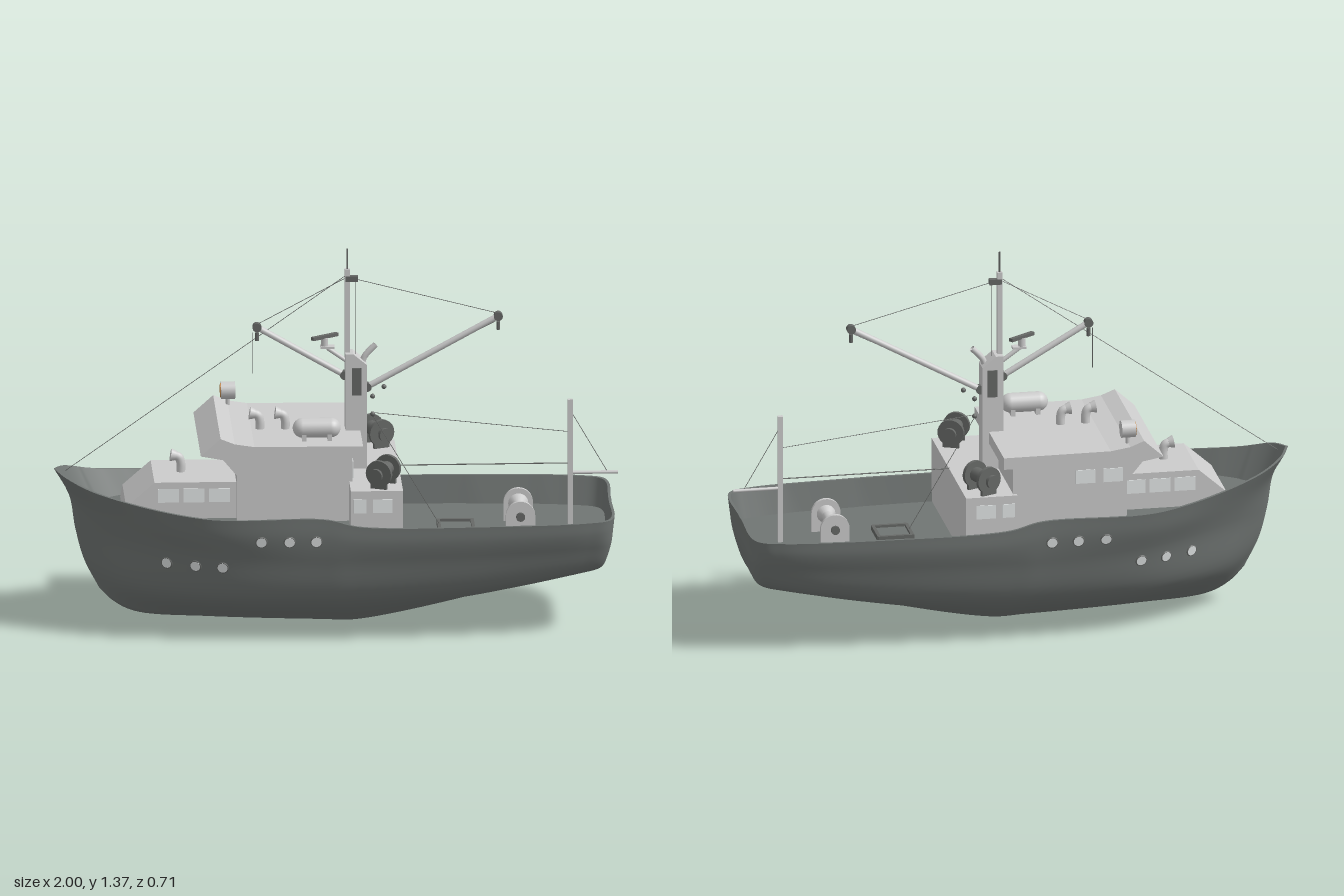
import * as THREE from 'three';

const V = (x, y, z = 0) => new THREE.Vector3(x, y, z);
const mat = (color = 0xcccccc) => new THREE.MeshStandardMaterial({ color, side: THREE.DoubleSide });
const GREY = mat(), HULL = mat(0x707573), DARK = mat(0x666866), PANE = mat(0xe4e8e8), LENS = mat(0xc08a50);

export function createModel() {
  const model = new THREE.Group();

  const add = (name, geo, m = GREY, parent = model) => {
    const mesh = new THREE.Mesh(geo, m);
    mesh.name = name;
    parent.add(mesh);
    return mesh;
  };
  const box = (name, w, h, d, x, y, z, m, parent) => {
    const b = add(name, new THREE.BoxGeometry(w, h, d), m, parent);
    b.position.set(x, y, z);
    return b;
  };
  const rod = (name, a, b, r, m, parent, sides = 10, r2 = r) => {
    const c = add(name, new THREE.CylinderGeometry(r2, r, a.distanceTo(b), sides), m, parent);
    c.position.copy(a).lerp(b, 0.5);
    c.quaternion.setFromUnitVectors(V(0, 1), b.clone().sub(a).normalize());
    return c;
  };
  const tube = (name, pts, r) =>
    add(name, new THREE.TubeGeometry(new THREE.CatmullRomCurve3(pts), 20, r, 14));
  // side profile in x,y pulled across z0..z1
  const profile = (name, pts, z0, z1) => {
    const s = new THREE.Shape(pts.map(p => new THREE.Vector2(...p)));
    const e = add(name, new THREE.ExtrudeGeometry(s, { depth: z1 - z0, bevelEnabled: false }));
    e.position.z = z0;
    return e;
  };
  // skin over rows of points
  const loft = (name, rows, m) => {
    const n = rows[0].length, idx = [];
    for (let i = 0; i < rows.length - 1; i++)
      for (let j = 0; j < n - 1; j++) {
        const a = i * n + j, b = a + n;
        idx.push(a, a + 1, b, b, a + 1, b + 1);
      }
    const g = new THREE.BufferGeometry().setFromPoints(rows.flat());
    g.setIndex(idx);
    g.computeVertexNormals();
    return add(name, g, m);
  };

  // Hull: keel, chine, side and rail lines from stem to stern
  const line = pts => new THREE.CatmullRomCurve3(pts.map(p => V(...p)));
  const keel = line([[-.84, .13], [-.79, .08], [-.71, .04], [-.45, .018], [-.05, .002], [.07, 0],
    [.5, .088], [.84, .187], [.925, .21], [.935, .215]]);
  const chine = line([[-.893, .235, 0], [-.83, .19, .05], [-.74, .165, .115], [-.45, .15, .24], [-.05, .15, .277],
    [.07, .15, .277], [.5, .18, .262], [.85, .228, .232], [.932, .237, .19], [.948, .245, 0]]);
  const side = line([[-.924, .35, 0], [-.88, .345, .055], [-.79, .34, .13], [-.46, .32, .295], [-.05, .3, .329],
    [.07, .3, .329], [.5, .31, .318], [.87, .325, .285], [.952, .325, .245], [.966, .325, 0]]);
  const rail = line([[-1, .57, 0], [-.96, .556, .085], [-.85, .52, .17], [-.48, .47, .335], [-.05, .466, .35],
    [.07, .438, .35], [.5, .43, .342], [.88, .43, .311], [.962, .43, .272], [.976, .43, 0]]);
  // flare line between side and rail, drawn in towards the bow
  const flare = u => {
    const bow = Math.max(0, 1 - u / .3);
    const p = side.getPoint(u).lerp(rail.getPoint(u), .55);
    return V(p.x + .02 * bow, p.y, p.z * (1.02 - .12 * bow));
  };
  const flip = p => V(p.x, p.y, -p.z);
  const inset = p => V(p.x * .99, p.y, p.z * .97);
  const outer = [], cap = [], wall = [], deck = [];
  const N = 100;
  for (let i = 0; i <= N; i++) {
    const u = i / N, edge = rail.getPoint(u), lip = inset(edge);
    const ribs = [keel.getPoint(u), chine.getPoint(u), side.getPoint(u), flare(u), edge];
    const section = new THREE.CatmullRomCurve3(ribs).getPoints(28);
    outer.push([...section.slice(1).reverse().map(flip), ...section]);
    const deckY = edge.x < .1 ? .42 : .33;
    const foot = inset(section.findLast(p => p.y <= deckY) ?? section[0]);
    foot.y = deckY;
    cap.push([edge, lip]);
    wall.push([lip, foot]);
    deck.push([foot, flip(foot)]);
  }
  const hull = loft('hull', outer, HULL);
  for (const [name, rows] of [['railCap', cap], ['bulwarkInside', wall]]) {
    loft(name, rows, HULL);
    loft(name, rows.map(r => r.map(flip).reverse()), HULL);
  }
  loft('deck', deck, HULL);

  // Portholes set onto the hull skin, both sides
  const ray = new THREE.Raycaster();
  for (const [x, y] of [[-.61, .28], [-.51, .28], [-.415, .28], [-.28, .385], [-.18, .385], [-.085, .385]])
    for (const s of [1, -1]) {
      ray.set(V(x, y, s * 2), V(0, 0, -s));
      const hit = ray.intersectObject(hull)[0];
      if (!hit) continue;
      const port = new THREE.Group();
      port.name = 'porthole';
      port.position.copy(hit.point);
      const n = hit.face.normal.clone();
      if (n.z * s < 0) n.negate();
      port.quaternion.setFromUnitVectors(V(0, 0, 1), n);
      add('portholeRim', new THREE.TorusGeometry(.019, .003, 8, 24), DARK, port);
      add('portholeGlass', new THREE.CylinderGeometry(.018, .018, .006, 24).rotateX(Math.PI / 2), PANE, port);
      model.add(port);
    }

  // Forward cabin with sloped front and side windows
  profile('forwardCabin', [[-.76, .41], [-.75, .465], [-.65, .553], [-.34, .553], [-.34, .41]], -.145, .145);
  for (const s of [1, -1])
    for (const x of [-.6, -.51, -.42]) box('cabinWindow', .075, .05, .006, x, .505, s * .145, PANE);

  // Wheelhouse with windscreen raked out under the visor
  profile('wheelhouse', [[-.36, .41], [-.36, .59], [-.425, .668], [.05, .668], [.05, .41]], -.315, .2);
  profile('wheelhouseRoof', [[-.49, .675], [-.42, .738], [-.37, .718], [-.3, .707], [.085, .705], [.085, .662], [-.42, .662]],
    -.325, .24);
  for (const z of [-.24, -.115, .01, .13]) box('windscreen', .006, .07, .09, -.393, .629, z, PANE).rotation.z = .695;
  for (const x of [-.31, -.21]) box('sideWindow', .07, .05, .006, x, .615, -.315, PANE);
  for (const z of [.165, .07]) box('aftWindow', .006, .06, .055, .05, .605, z, PANE);

  // Aft deckhouse across the whole beam
  box('deckhouse', .185, .245, .66, .13, .4425, 0);
  for (const s of [1, -1]) {
    for (const [x, w] of [[.07, .045], [.15, .07]]) box('deckhouseWindow', w, .05, .006, x, .51, s * .33, PANE);
    // Net winches on the deckhouse, turned inwards
    const winch = new THREE.Group();
    winch.name = 'netWinch';
    winch.position.set(.155, .62, s * .262);
    winch.rotation.y = -s * .42;
    rod('axle', V(0, 0, -.075), V(0, 0, .075), .016, DARK, winch, 16);
    rod('drum', V(0, 0, -.04), V(0, 0, .04), .026, DARK, winch, 20);
    for (const z of [-.045, .04]) {
      rod('flange', V(0, 0, z - .007), V(0, 0, z + .007), .048, DARK, winch, 28);
      box('stand', .06, .055, .012, 0, -.03, z, DARK, winch);
    }
    for (const z of [-.07, .07]) rod('warpingHead', V(0, 0, z - .006), V(0, 0, z + .006), .024, DARK, winch, 20);
    model.add(winch);
  }

  // Cowl vents facing the bow
  for (const [x, y] of [[-.55, .55], [-.27, .7], [-.18, .7]]) {
    tube('cowlVent', [V(x, y), V(x, y + .035), V(x - .007, y + .055), V(x - .03, y + .063)], .016);
    rod('cowlMouth', V(x - .018, y + .061), V(x - .036, y + .064), .017, GREY, model, 16, .023);
  }

  // Roof tank on saddles, and searchlight
  const tank = add('roofTank', new THREE.CapsuleGeometry(.035, .1, 8, 24).rotateZ(Math.PI / 2));
  tank.position.set(-.075, .747, .14);
  for (const x of [-.12, -.03]) box('tankSaddle', .015, .03, .06, x, .715, .14);
  rod('searchlightPost', V(-.37, .7, -.275), V(-.37, .75, -.275), .008);
  rod('searchlight', V(-.395, .77, -.275), V(-.345, .77, -.275), .031, GREY, model, 24);
  rod('searchlightLens', V(-.398, .77, -.275), V(-.394, .77, -.275), .025, LENS, model, 24);

  // Mast trunk, topmast and aerial
  profile('mastTrunk', [[.032, .45], [.032, .985], [.06, .985], [.108, .945], [.108, .45]], -.036, .036);
  for (const s of [1, -1]) box('mastGrille', .035, .1, .006, .072, .885, s * .037, DARK);
  box('topmast', .018, .36, .018, .04, 1.11, 0);
  rod('aerial', V(.04, 1.28), V(.04, 1.365), .003, DARK);
  box('mastheadBlock', .045, .02, .02, .055, 1.255, 0, DARK);
  tube('hornPipe', [V(.09, .93), V(.1, .965), V(.115, .985), V(.14, 1.01)], .011);

  // Radar on its bracket, with a slim rotating bar
  rod('radarBracket', V(.04, .95), V(-.03, 1.0), .008);
  box('radarPlatform', .05, .008, .03, -.03, 1.004, 0);
  rod('radarPost', V(-.04, 1.0), V(-.04, 1.038), .013);
  box('radarScanner', .11, .012, .016, -.04, 1.042, 0, DARK).rotation.y = .6;

  // Two cargo booms with end sheaves
  for (const [a, b] of [[V(.03, .9), V(-.28, 1.08)], [V(.11, .855), V(.575, 1.11)]]) {
    rod('boom', a, b, .011);
    for (const [name, p] of [['boomTip', b], ['boomHeel', a]])
      rod(name, V(p.x, p.y, -.012), V(p.x, p.y, .012), .016, DARK, model, 18);
    rod('hangingBlock', V(b.x, b.y - .05), V(b.x, b.y - .02), .007, DARK);
  }
  for (const [x, y] of [[.13, .82], [.17, .855], [.13, .755]])
    add('pulley', new THREE.SphereGeometry(.009, 12, 8), DARK).position.set(x, y, 0);

  // Stern post with outrigger
  box('sternPost', .018, .47, .018, .83, .565, 0);
  rod('sternOutrigger', V(.83, .53), V(1, .53), .006);
  rod('sternStay', V(.22, .565), V(.83, .565), .002, DARK);

  // Rigging lines
  for (const [x0, y0, x1, y1] of [[-.96, .56, .04, 1.27], [-.28, 1.09, .04, 1.26], [.06, 1.255, .575, 1.12],
    [.13, .76, .83, .68], [.83, .76, .96, .535], [-.295, 1.06, -.295, .91], [.07, 1.25, .07, .97],
    [.13, .87, .565, 1.09], [.13, .75, .37, .34]])
    rod('riggingLine', V(x0, y0), V(x1, y1), .0012, DARK, model, 5);

  // Deck hatch frame
  for (const s of [1, -1]) {
    box('hatchFrame', .125, .02, .012, .425, .338, s * .06, DARK);
    box('hatchFrame', .012, .02, .125, .425 + s * .06, .338, 0, DARK);
  }
  box('hatchCover', .11, .01, .11, .425, .334, 0, HULL);

  // Trawl winch on the aft deck, between arched cheek plates
  const cheek = new THREE.Shape();
  cheek.moveTo(-.052, .325);
  cheek.lineTo(.052, .325);
  cheek.lineTo(.052, .398);
  cheek.absarc(0, .398, .052, 0, Math.PI, false);
  for (const z of [-.09, .085]) {
    const c = add('winchCheek', new THREE.ExtrudeGeometry(cheek, { depth: .014, bevelEnabled: false, curveSegments: 20 }));
    c.position.set(.65, 0, z - .007);
    rod('winchHub', V(.65, .395, z - .016), V(.65, .395, z + .016), .016, DARK, model, 18);
  }
  rod('winchDrum', V(.65, .395, -.085), V(.65, .395, .085), .02, GREY, model, 20);
  for (const s of [1, -1]) rod('drumCone', V(.65, .395, s * .083), V(.65, .395, s * .05), .036, GREY, model, 20, .02);

  return model;
}
